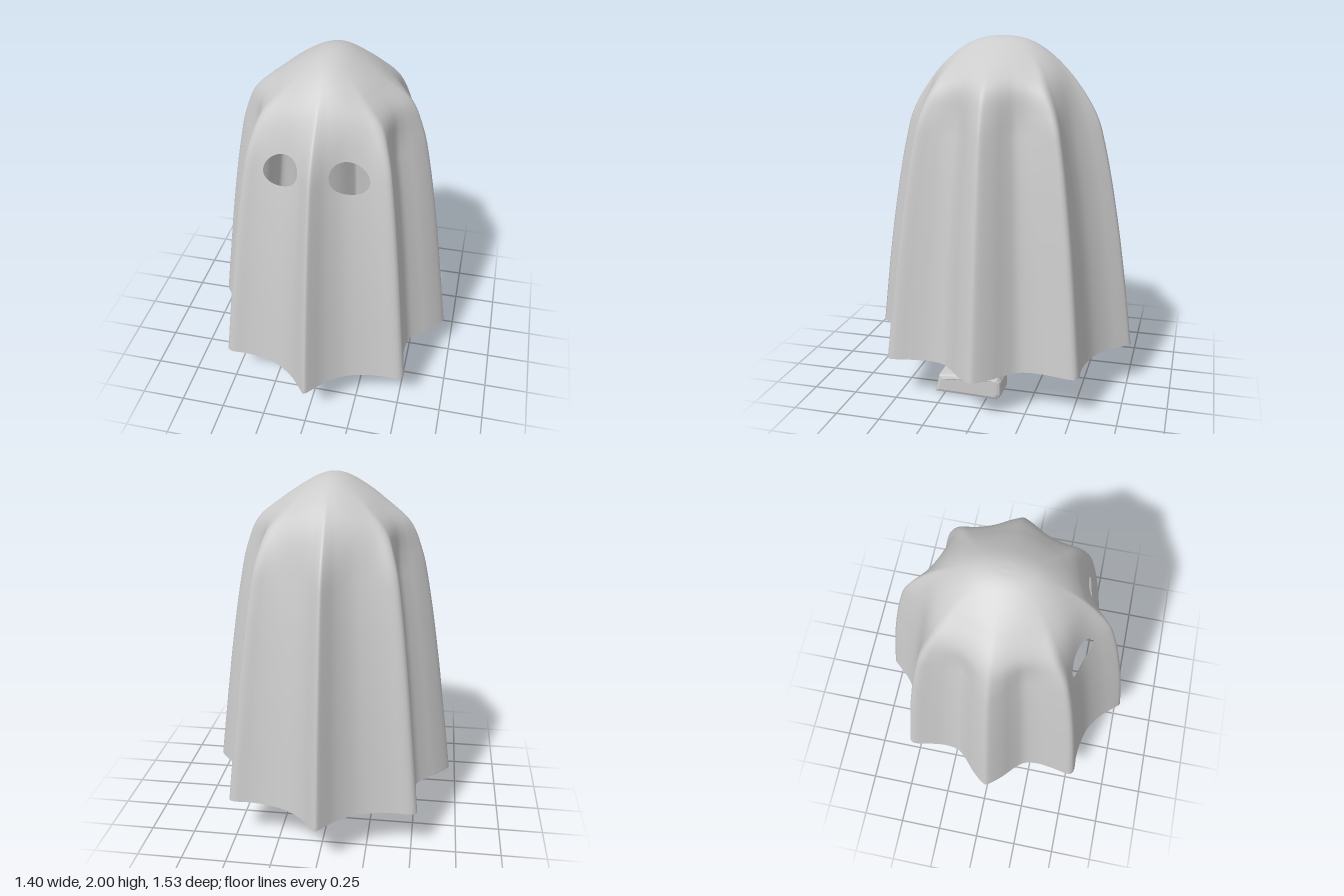
import * as THREE from 'three';

const COLS = 256, ROWS = 130;
const material = new THREE.MeshStandardMaterial({ color: 0xcccccc, roughness: 0.8, side: THREE.DoubleSide });

// Hem outline: one quarter as [x, z], mirrored into a closed eight-pointed loop
function hemCurve() {
  const q = [[0, 0.765], [0.025, 0.74], [0.1, 0.655], [0.2, 0.585], [0.3, 0.553], [0.4, 0.54], [0.5, 0.54],
    [0.524, 0.525], [0.527, 0.5], [0.51, 0.4], [0.5, 0.3], [0.515, 0.215], [0.56, 0.16], [0.63, 0.095],
    [0.685, 0.03], [0.7, 0]];
  const half = [...q, ...q.slice(0, -1).reverse().map(([x, z]) => [x, -z])];
  const loop = [...half, ...half.slice(1, -1).reverse().map(([x, z]) => [-x, z])];
  return new THREE.CatmullRomCurve3(loop.map(([x, z]) => new THREE.Vector3(x, 0, z)), true);
}

// Vertical profile: x = width scale, y = height, z = depth scale
function profileCurve() {
  return new THREE.CatmullRomCurve3([
    [1, 0.25, 1], [0.915, 0.7, 0.925], [0.855, 1, 0.865], [0.77, 1.36, 0.775], [0.695, 1.6, 0.69],
    [0.62, 1.74, 0.605], [0.42, 1.86, 0.48], [0.19, 1.96, 0.28], [0.08, 1.992, 0.13], [0, 2, 0],
  ].map((p) => new THREE.Vector3(...p)));
}

// Draped sheet: the hem outline scaled along the profile, fading to a round crown
function sheetGeometry() {
  const hem = hemCurve(), profile = profileCurve();
  hem.arcLengthDivisions = profile.arcLengthDivisions = 1000;
  const hemLength = hem.getLength(), rise = profile.getLength();
  const eye = { u: 0.31 / hemLength, ru: 0.147 / hemLength, t: 1.315 / rise, rt: 0.096 / rise };

  // Eye coordinates: unit circle = rim of the slightly tilted hole
  const toEye = (u, t) => {
    const a = (Math.min(u, 1 - u) - eye.u) / eye.ru;
    return [a, (t - eye.t) / eye.rt + 0.2 * a];
  };
  const inEye = (u, t) => Math.hypot(...toEye(u, t)) < 1;
  const snapToRim = (u, t) => {
    let [a, b] = toEye(u, t);
    const d = Math.hypot(a, b);
    a /= d;
    b /= d;
    const v = eye.u + eye.ru * a;
    return [u < 0.5 ? v : 1 - v, eye.t + eye.rt * (b - 0.2 * a)];
  };
  const cellOpen = (i, j) => inEye((((i + COLS) % COLS) + 0.5) / COLS, (j + 0.5) / ROWS);

  const surface = (u, t) => {
    const p = hem.getPointAt(u), s = profile.getPointAt(t);
    const round = 0.66 / Math.hypot(p.x, p.z);
    const k = THREE.MathUtils.lerp(1, round, THREE.MathUtils.smoothstep(s.y, 1.5, 1.98));
    return [p.x * k * s.x, s.y, p.z * k * s.z];
  };

  const positions = [], index = [];
  const id = (i, j) => (j === ROWS ? ROWS * COLS : j * COLS + (i % COLS));
  for (let j = 0; j < ROWS; j++) {
    for (let i = 0; i < COLS; i++) {
      let u = i / COLS, t = j / ROWS;
      const touching = [cellOpen(i, j), cellOpen(i - 1, j), cellOpen(i, j - 1), cellOpen(i - 1, j - 1)];
      if (touching.includes(true) && touching.includes(false)) [u, t] = snapToRim(u, t);
      positions.push(...surface(u, t));
      if (cellOpen(i, j)) continue;
      const a = id(i, j), b = id(i + 1, j), c = id(i + 1, j + 1), d = id(i, j + 1);
      index.push(a, b, c);
      if (c !== d) index.push(a, c, d);
    }
  }
  positions.push(0, 2, 0);
  const geometry = new THREE.BufferGeometry();
  geometry.setAttribute('position', new THREE.Float32BufferAttribute(positions, 3));
  geometry.setIndex(index);
  geometry.computeVertexNormals();
  return geometry;
}

// Shoe: side profile extruded across, narrower at the toe
function shoeGeometry() {
  const outline = [[-0.06, 0], [0.31, 0], [0.285, 0.105], [0.07, 0.138], [-0.07, 0.138], [-0.086, 0.11], [-0.086, 0.03]];
  const shape = new THREE.Shape(outline.map(([z, y]) => new THREE.Vector2(z, y)));
  const geometry = new THREE.ExtrudeGeometry(shape, {
    depth: 0.13, bevelThickness: 0.022, bevelSize: 0.022, bevelOffset: -0.022, bevelSegments: 2,
  });
  geometry.translate(0, 0, -0.065).rotateY(-Math.PI / 2);
  const p = geometry.attributes.position;
  for (let i = 0; i < p.count; i++) {
    p.setX(i, p.getX(i) * (1 - 0.22 * THREE.MathUtils.smoothstep(p.getZ(i), 0.12, 0.31)));
  }
  geometry.computeVertexNormals();
  return geometry;
}

export function createModel() {
  const model = new THREE.Group();
  const add = (parent, geometry, name) => {
    const mesh = new THREE.Mesh(geometry, material);
    mesh.name = name;
    parent.add(mesh);
    return mesh;
  };

  add(model, sheetGeometry(), 'sheet');

  // Legs and shoes under the hem
  const legGeometry = new THREE.CylinderGeometry(0.074, 0.074, 0.6, 16).translate(0, 0.4, 0);
  const shoe = shoeGeometry();
  for (const [side, name] of [[1, 'left'], [-1, 'right']]) {
    const leg = new THREE.Group();
    leg.name = `${name}LegGroup`;
    leg.position.x = side * 0.312;
    add(leg, legGeometry, `${name}Leg`);
    add(leg, shoe, `${name}Shoe`);
    model.add(leg);
  }
  return model;
}
